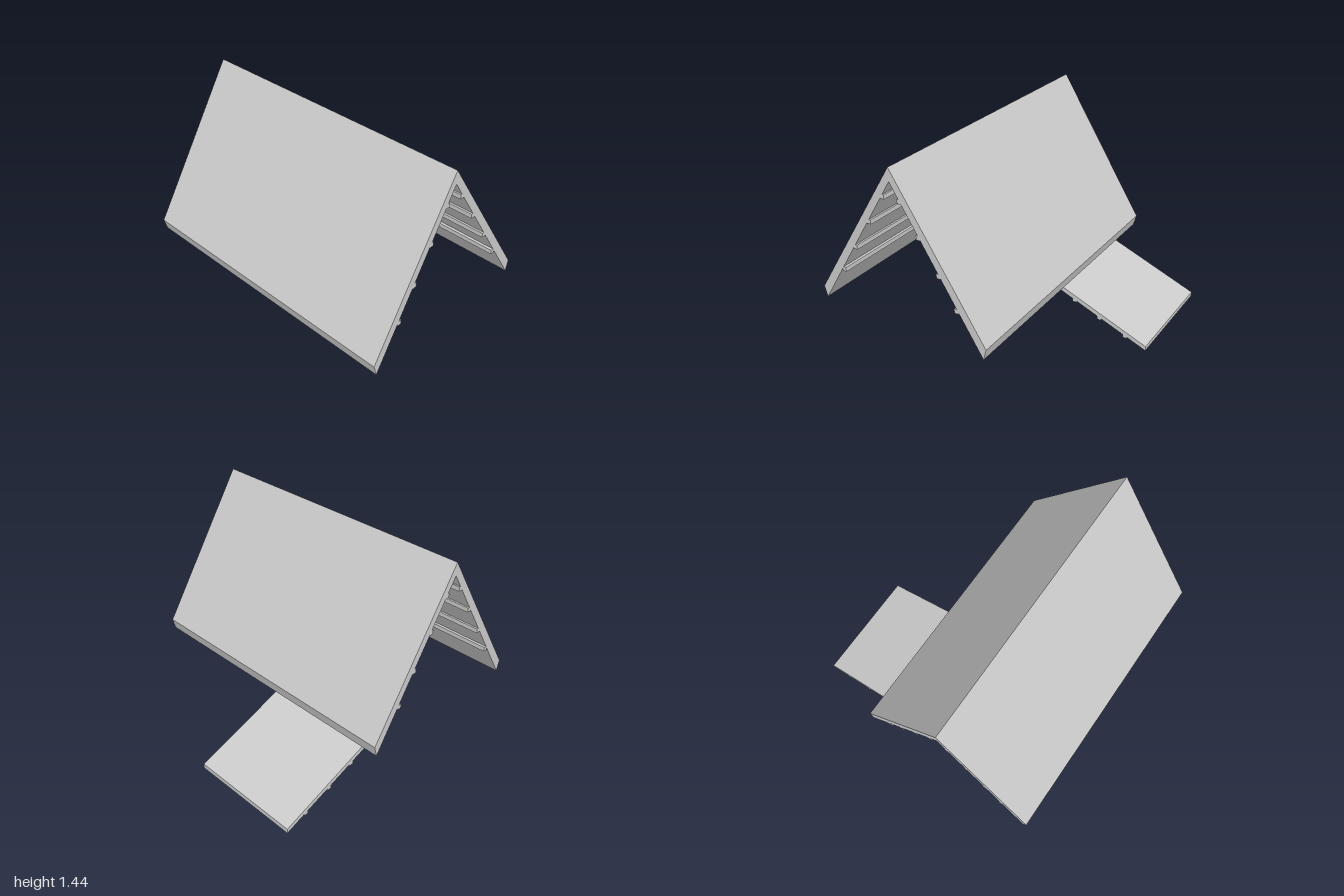
import * as THREE from 'three';

const material = new THREE.MeshStandardMaterial({ color: 0xcccccc, flatShading: true });

// Extrudes an x-y outline from z0 to z1
function slab(name, points, z0, z1) {
  const shape = new THREE.Shape(points.map(([x, y]) => new THREE.Vector2(x, y)));
  const geometry = new THREE.ExtrudeGeometry(shape, { depth: z1 - z0, bevelEnabled: false });
  geometry.translate(0, 0, z0);
  const mesh = new THREE.Mesh(geometry, material);
  mesh.name = name;
  return mesh;
}

// Square batten running along z
function batten(name, x, y, z0, z1) {
  const size = 0.03;
  const mesh = new THREE.Mesh(new THREE.BoxGeometry(size, size, z1 - z0), material);
  mesh.position.set(x, y, (z0 + z1) / 2);
  mesh.name = name;
  return mesh;
}

export function createModel() {
  const model = new THREE.Group();
  model.name = 'gableRoofWithPorch';

  // Main gable roof, mirrored about its ridge
  const ridgeX = -0.282;
  const mainRoof = new THREE.Group();
  mainRoof.name = 'mainRoof';
  const half = [[0, 1.355], [0.628, 0.36], [0.648, 0.438], [0, 1.445]];
  const outline = [
    ...half.slice(0, 3),
    half[3],
    [-half[2][0], half[2][1]],
    [-half[1][0], half[1][1]],
  ];
  mainRoof.add(slab('roofPanels', outline, -1, 1));

  // Battens under both slopes
  const rows = [[0.442, 0.632], [0.322, 0.831], [0.188, 1.045], [0.064, 1.244]];
  for (const side of [-1, 1]) {
    for (const [x, y] of rows) mainRoof.add(batten('roofBatten', side * x, y, -1, 1));
  }
  mainRoof.position.x = ridgeX;
  model.add(mainRoof);

  // Low porch roof on the left side, towards the back
  const z0 = -0.828, z1 = -0.036;
  const porchRoof = new THREE.Group();
  porchRoof.name = 'porchRoof';
  porchRoof.add(slab('porchPanel', [[0.235, 0.268], [0.925, 0.003], [0.925, 0.036], [0.27, 0.29]], z0, z1));
  for (const [x, y] of [[0.376, 0.212], [0.57, 0.136], [0.767, 0.062]]) {
    porchRoof.add(batten('porchBatten', x, y, z0, z1));
  }
  model.add(porchRoof);

  return model;
}
